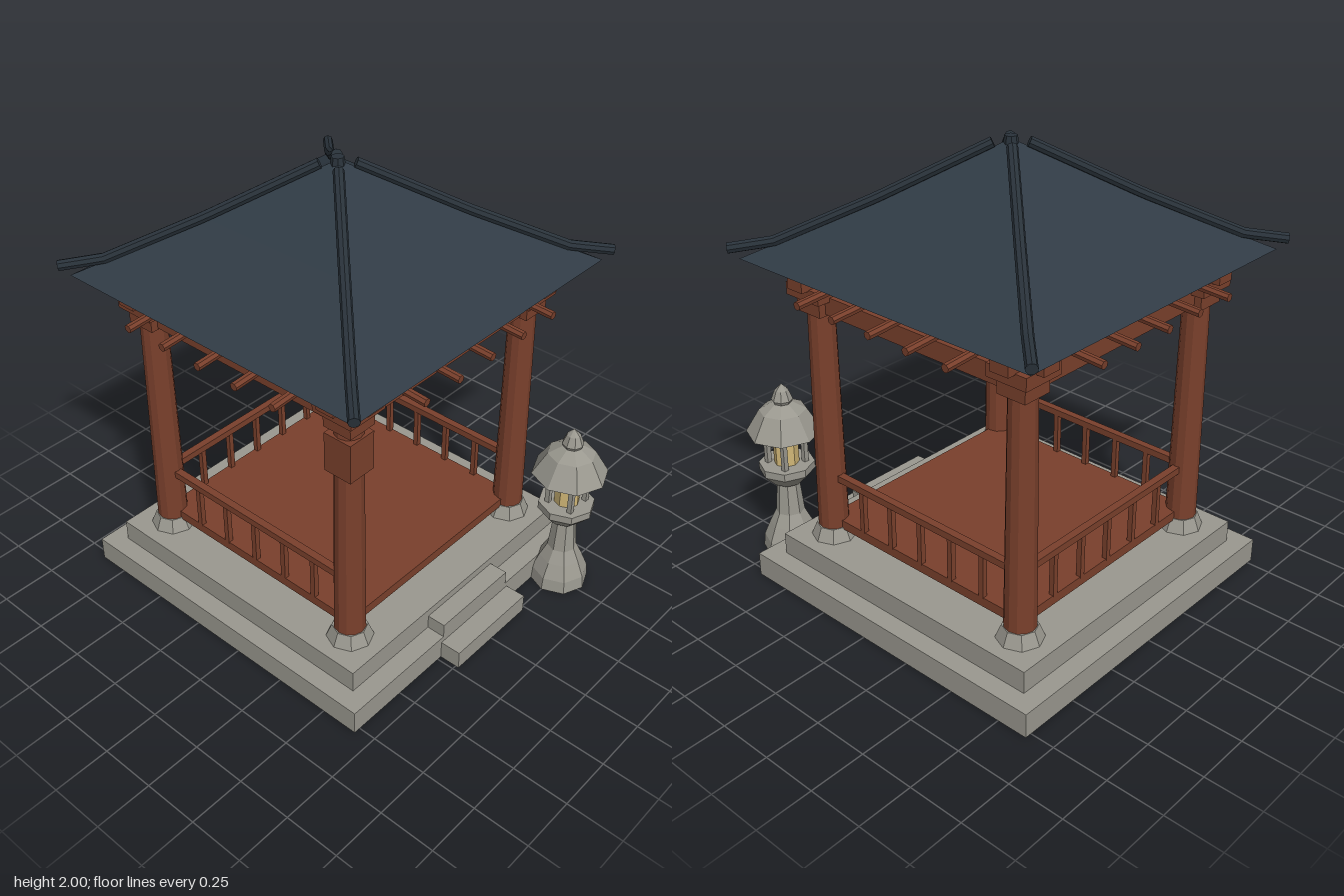
import * as THREE from 'three';

const flat = (name, color, side = THREE.FrontSide) => {
  const m = new THREE.MeshStandardMaterial({ color, flatShading: true, side });
  m.name = name;
  return m;
};

export function createModel() {
  const stone = flat('stone', 0x9a988f);
  const wood = flat('wood', 0x7a402c);
  const tile = flat('roofTile', 0x303b45, THREE.DoubleSide);
  const ridgeTile = flat('ridgeTile', 0x29323a);
  const glow = flat('lanternPane', 0xd2b878);

  const model = new THREE.Group();
  model.name = 'gardenPavilion';
  const pavilion = new THREE.Group();
  pavilion.name = 'pavilion';
  pavilion.position.z = -0.11;
  model.add(pavilion);

  const add = (parent, name, geo, mat, x = 0, y = 0, z = 0) => {
    const mesh = new THREE.Mesh(geo, mat);
    mesh.name = name;
    mesh.position.set(x, y, z);
    parent.add(mesh);
    return mesh;
  };
  // Box given by its size, bottom and top
  const box = (parent, name, mat, w, d, y0, y1, x = 0, z = 0) =>
    add(parent, name, new THREE.BoxGeometry(w, y1 - y0, d), mat, x, (y0 + y1) / 2, z);
  // Round part between two heights
  const post = (parent, name, mat, r0, r1, y0, y1, sides, x = 0, z = 0) =>
    add(parent, name, new THREE.CylinderGeometry(r1, r0, y1 - y0, sides), mat, x, (y0 + y1) / 2, z);
  const lathe = (parent, name, mat, sides, pts) =>
    add(parent, name, new THREE.LatheGeometry(pts.map(p => new THREE.Vector2(...p)), sides), mat);

  // Stepped platform and front steps
  box(pavilion, 'lowerPlinth', stone, 1.56, 1.56, 0, 0.11);
  box(pavilion, 'upperPlinth', stone, 1.39, 1.39, 0.11, 0.21);
  box(pavilion, 'lowerStep', stone, 0.46, 0.2, 0, 0.085, 0, 0.775);
  box(pavilion, 'upperStep', stone, 0.435, 0.2, 0.09, 0.175, 0, 0.68);

  // Raised floor
  box(pavilion, 'floor', wood, 1.1, 1.1, 0.262, 0.305);

  // Columns with stone feet and bracket sets
  const C = 0.54;
  for (const sx of [-1, 1]) for (const sz of [-1, 1]) {
    const corner = new THREE.Group();
    corner.name = 'cornerColumn';
    corner.position.set(sx * C, 0, sz * C);
    pavilion.add(corner);
    post(corner, 'columnFoot', stone, 0.1, 0.075, 0.21, 0.27, 8);
    post(corner, 'column', wood, 0.068, 0.058, 0.27, 1.3, 12);
    box(corner, 'capital', wood, 0.135, 0.135, 1.285, 1.36);
    box(corner, 'bracketBlock', wood, 0.19, 0.19, 1.355, 1.41);
    box(corner, 'bracketArmX', wood, 0.26, 0.085, 1.405, 1.452);
    box(corner, 'bracketArmZ', wood, 0.085, 0.26, 1.405, 1.452);
    if (sx < 0 && sz > 0) box(corner, 'columnBlock', wood, 0.132, 0.132, 1.08, 1.255);
  }

  // Four sides: beam and rafters all round, railing on all but the front
  for (let i = 0; i < 4; i++) {
    const side = new THREE.Group();
    side.name = ['front', 'left', 'back', 'right'][i] + 'Side';
    side.rotation.y = i * Math.PI / 2;
    pavilion.add(side);
    box(side, 'beam', wood, 2 * C, 0.07, 1.293, 1.373, 0, C);
    for (let k = -2; k <= 2; k++) {
      const rafter = add(side, 'rafter', new THREE.CylinderGeometry(0.018, 0.018, 0.36, 7),
        wood, k * 0.196, 1.433, 0.605);
      rafter.rotation.x = Math.PI / 2 + 0.06;
      if (i) box(side, 'railPost', wood, 0.024, 0.024, 0.3, 0.51, k * 0.171, C);
    }
    if (i) box(side, 'handRail', wood, 2 * C, 0.034, 0.5, 0.531, 0, C);
  }

  // Pyramid roof built from square rings; the underside sags to its centre
  const rings = [[0, 1.46], [0.76, 1.51], [0.36, 1.745], [0.01, 1.98], [0, 1.98]];
  const verts = [], index = [];
  rings.forEach(([r, y], j) => {
    for (let k = 0; k < 4; k++) {
      const a = Math.PI / 4 + k * Math.PI / 2;
      verts.push(r * Math.SQRT2 * Math.sin(a), y, r * Math.SQRT2 * Math.cos(a));
      if (j) {
        const b = (j - 1) * 4, n = (k + 1) % 4;
        index.push(b + k, b + n, b + 4 + n, b + k, b + 4 + n, b + 4 + k);
      }
    }
  });
  const roofGeo = new THREE.BufferGeometry();
  roofGeo.setAttribute('position', new THREE.Float32BufferAttribute(verts, 3));
  roofGeo.setIndex(index);
  roofGeo.computeVertexNormals();
  add(pavilion, 'roof', roofGeo, tile);

  // Hip ridges with lifted tips, made of jointed round lengths
  const hip = [[0.05, 1.973], [0.37, 1.757], [0.66, 1.583], [0.79, 1.556]];
  for (const sx of [-1, 1]) for (const sz of [-1, 1]) {
    const path = new THREE.CurvePath();
    const pts = hip.map(([r, y]) => new THREE.Vector3(sx * r, y, sz * r));
    for (let k = 0; k < 3; k++) {
      path.add(new THREE.LineCurve3(pts[k], pts[k + 1]));
    }
    add(pavilion, 'hipRidge', new THREE.TubeGeometry(path, 24, 0.023, 8), ridgeTile);
    // Closed ends
    for (const [p, q] of [[pts[0], pts[1]], [pts[3], pts[2]]]) {
      const cap = add(pavilion, 'ridgeEnd', new THREE.CircleGeometry(0.023, 8), ridgeTile, p.x, p.y, p.z);
      cap.quaternion.setFromUnitVectors(new THREE.Vector3(0, 0, 1), p.clone().sub(q).normalize());
    }
  }
  post(pavilion, 'roofFinial', ridgeTile, 0.035, 0.026, 1.94, 2.0, 8);

  // Stone lantern
  const lantern = new THREE.Group();
  lantern.name = 'stoneLantern';
  lantern.position.set(0.525, 0, 0.75);
  model.add(lantern);
  lathe(lantern, 'lanternPedestal', stone, 8, [[0, 0], [0.132, 0], [0.125, 0.06], [0.095, 0.13],
    [0.065, 0.19], [0.05, 0.345], [0.07, 0.345], [0.125, 0.405], [0.125, 0.44], [0, 0.44]]);
  post(lantern, 'lanternPanes', glow, 0.056, 0.056, 0.435, 0.605, 8);
  for (const sx of [-1, 1]) for (const sz of [-1, 1])
    box(lantern, 'lanternPost', stone, 0.022, 0.022, 0.435, 0.605, sx * 0.058, sz * 0.058);
  lathe(lantern, 'lanternRoof', stone, 8, [[0, 0.6], [0.168, 0.6], [0.105, 0.705], [0.045, 0.74], [0, 0.74]]);
  lathe(lantern, 'lanternFinial', stone, 8, [[0, 0.73], [0.035, 0.73], [0.048, 0.755], [0.03, 0.8], [0, 0.83]]);

  return model;
}
